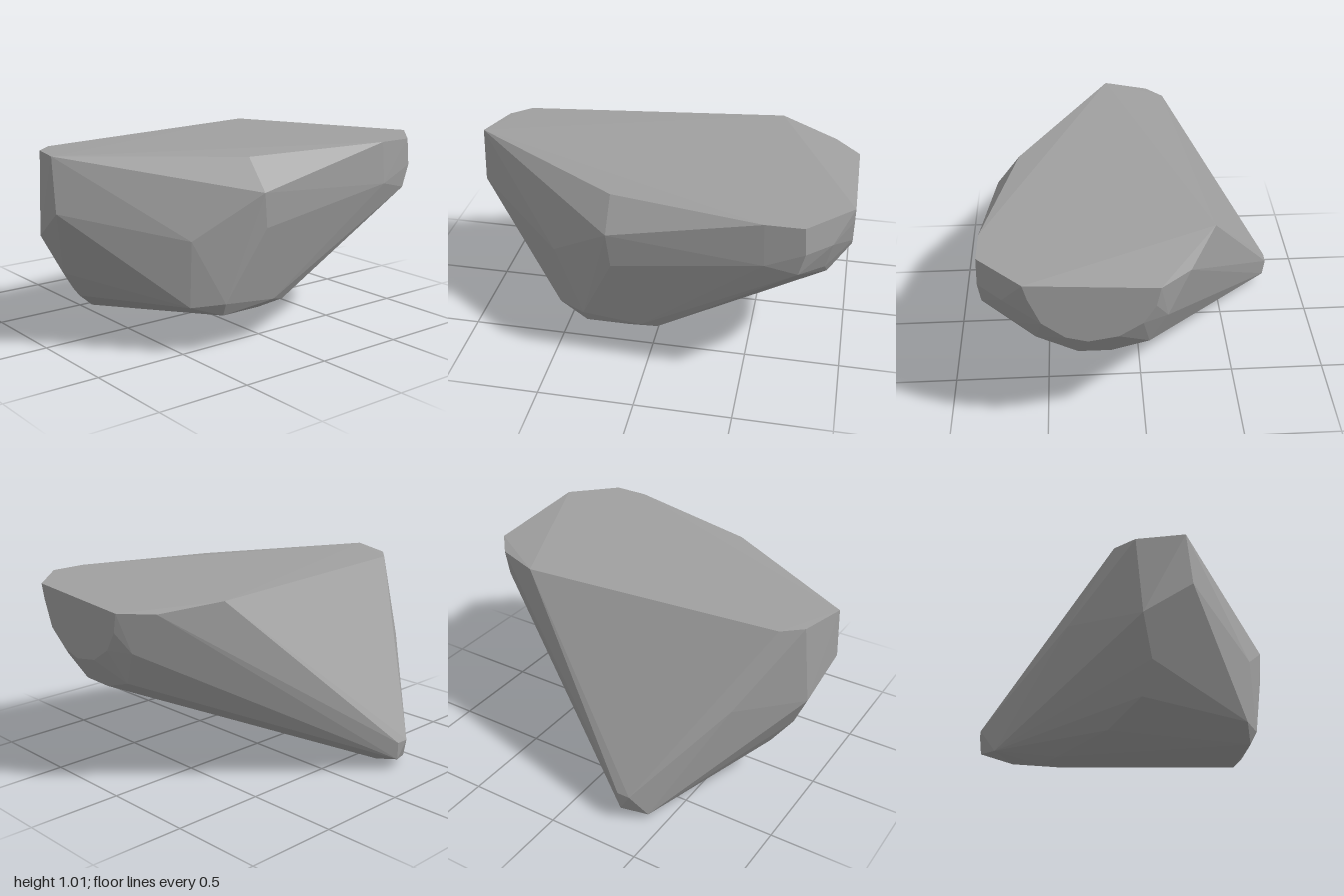
import * as THREE from 'three';
import { ConvexGeometry } from 'three/addons/geometries/ConvexGeometry.js';

// A faceted boulder: the convex hull of its chipped corners, listed by region.
export function createModel() {
  const stone = new THREE.MeshStandardMaterial({ color: 0xa0a0a0 });
  stone.name = 'grey stone';

  // rim of the flat top
  const topRim = [
    [-1, 1.01, 0.12], [-0.93, 1, -0.12], [-0.83, 1, -0.21], [0.57, 1.01, -0.36], [0.87, 0.97, -0.21],
    [1, 0.97, -0.06], [1, 1.01, 0.57], [0.78, 1.01, 0.79], [0.59, 1.01, 0.79], [-0.18, 0.99, 0.62],
  ];
  // flat cut on the +x side, as [y, z]
  const sideCut = [
    [0.93, 0.55], [0.79, 0.495], [0.7, 0.385], [0.67, 0.28], [0.695, 0.135], [0.77, 0.02], [0.87, -0.04],
  ].map(([y, z]) => [1, y, z]);
  // rounded chips around that cut
  const sideChips = [
    [0.91, 0.865, 0.675], [0.88, 0.7, 0.615], [0.89, 0.62, 0.53], [0.91, 0.535, 0.33],
    [0.9, 0.525, 0.17], [0.91, 0.585, -0.015], [0.94, 0.765, -0.1],
  ];
  // front wall and its lower edge
  const front = [
    [0.79, 0.87, 0.795], [0.76, 0.75, 0.785], [0.6, 0.79, 0.8], [-0.18, 0.83, 0.745], [-0.16, 0.65, 0.74],
    [-0.5, 0.6, 0.575], [-0.49, 0.255, 0.55], [-0.34, 0.27, 0.645], [-0.03, 0.24, 0.65],
    [0.05, 0.22, 0.625], [-0.1, 0.2, 0.61], [-0.33, 0.2, 0.61],
  ];
  // rounded -x side
  const farSide = [
    [-1, 0.73, 0.15], [-0.96, 0.57, -0.09], [-0.87, 0.37, -0.03], [-0.76, 0.22, -0.06],
    [-0.6, 0.1, -0.2], [-0.7, 0.6, -0.42],
  ];
  // low tip at the back
  const tip = [
    [-0.34, 0.16, -0.8], [-0.27, 0.16, -0.8], [-0.28, 0.06, -0.79], [-0.41, 0.03, -0.73],
    [-0.3, 0.01, -0.63], [-0.35, 0, -0.5], [-0.3, 0.01, -0.4], [-0.41, 0.02, -0.42],
  ];

  const corners = [topRim, sideCut, sideChips, front, farSide, tip].flat();
  const boulder = new THREE.Mesh(new ConvexGeometry(corners.map((p) => new THREE.Vector3(...p))), stone);
  boulder.name = 'boulder';

  const group = new THREE.Group();
  group.name = 'rock';
  group.add(boulder);
  return group;
}
